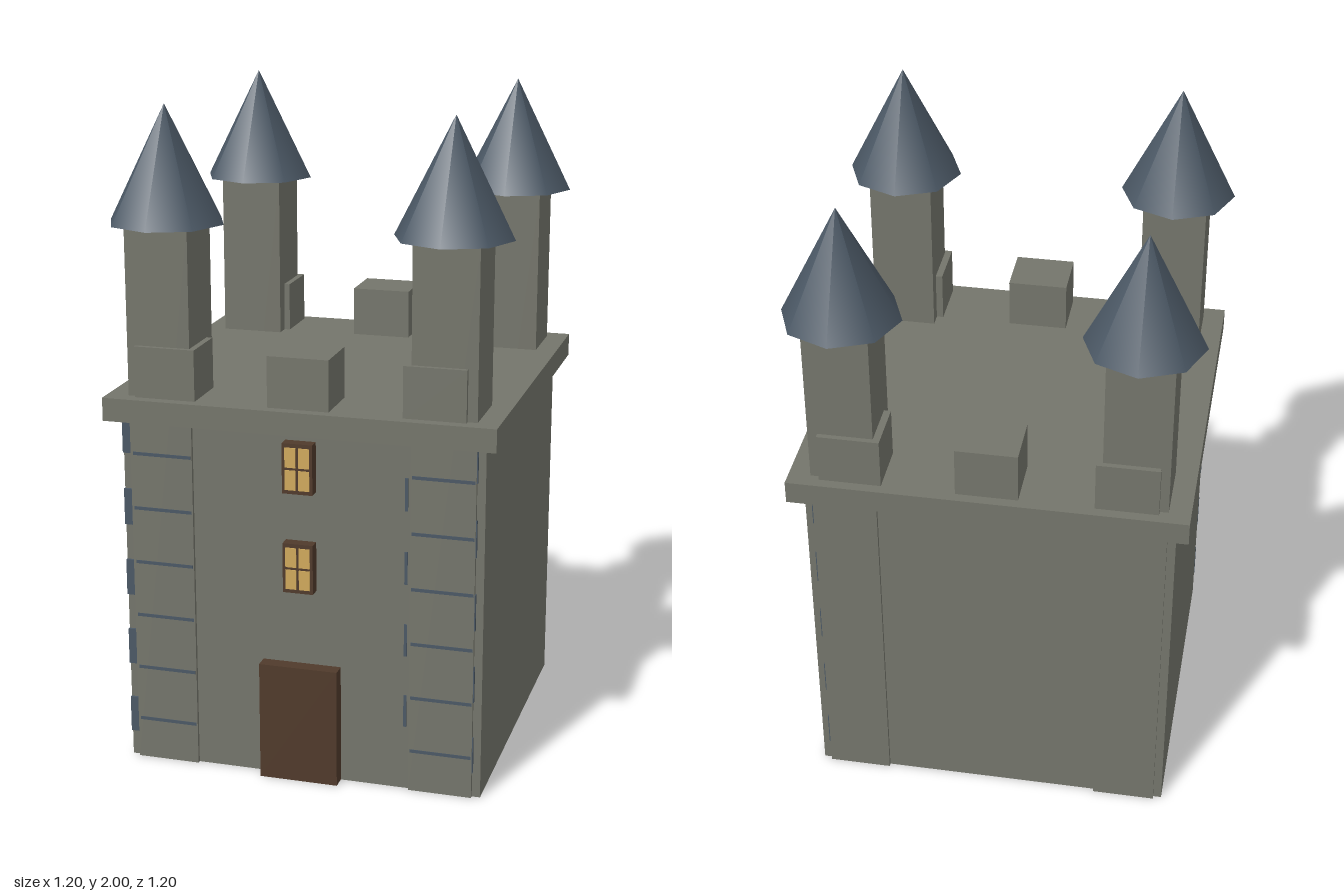
import * as THREE from 'three';

const mat = (name, color) => {
  const m = new THREE.MeshStandardMaterial({ color });
  m.name = name;
  return m;
};

export function createModel() {
  const stone = mat('stone', 0x74756b);
  const slate = mat('slate', 0x4b5865);
  const wood = mat('wood', 0x503a2b);
  const glow = mat('windowGlow', 0xd0a95c);

  const castle = new THREE.Group();
  castle.name = 'castle';

  // Box given by its minimum and maximum corners
  const box = (name, material, x0, x1, y0, y1, z0, z1, parent = castle) => {
    const mesh = new THREE.Mesh(new THREE.BoxGeometry(x1 - x0, y1 - y0, z1 - z0), material);
    mesh.position.set((x0 + x1) / 2, (y0 + y1) / 2, (z0 + z1) / 2);
    mesh.name = name;
    parent.add(mesh);
    return mesh;
  };

  // Keep and its overhanging roof slab
  box('keep', stone, -0.548, 0.548, 0, 1.1, -0.512, 0.512);
  box('roofSlab', stone, -0.588, 0.588, 1.085, 1.155, -0.57, 0.57);

  // Square corner towers running from the ground up to eight-sided spires
  for (const sx of [-1, 1]) {
    for (const sz of [-1, 1]) {
      const tower = new THREE.Group();
      tower.name = 'tower';
      tower.position.set(sx * 0.427, 0, sz * 0.427);
      box('towerShaft', stone, -0.096, 0.096, 0, 1.66, -0.096, 0.096, tower);
      const spire = new THREE.Mesh(new THREE.ConeGeometry(0.174, 0.342, 8), slate);
      spire.position.y = 1.829;
      spire.name = 'spire';
      tower.add(spire);
      castle.add(tower);
    }
  }

  // Merlons along the front and back edges
  for (const x of [-0.405, 0, 0.402]) {
    for (const z of [-0.458, 0.456]) {
      box('merlon', stone, x - 0.092, x + 0.092, 1.15, 1.308, z - 0.081, z + 0.081);
    }
  }

  // Slate quoins peeping out beside the towers
  for (let i = 0; i < 5; i++) {
    const y = 0.08 + i * 0.224;
    const top = Math.min(y + 0.112, 1.085);
    box('quoin', slate, -0.549, -0.523, y, top, 0.508, 0.52);
    box('quoin', slate, 0.52, 0.526, y, top, 0.508, 0.522);
    box('quoin', slate, 0.52, 0.526, y, top, -0.522, -0.508);
    box('quoin', slate, 0.313, 0.322, y - 0.08 + 0.2, y + 0.22, 0.508, 0.516).visible = i < 4;
  }

  // Thin mortar courses on the front towers
  for (let i = 0; i < 6; i++) {
    const y = 0.128 + i * 0.17;
    for (const [x0, x1] of [[-0.515, -0.335], [0.335, 0.52]]) {
      box('mortarCourse', slate, x0, x1, y - 0.005, y + 0.005, 0.518, 0.5245);
    }
  }

  // Door
  box('door', wood, -0.12, 0.12, 0, 0.365, 0.5, 0.556);

  // Windows: wooden frame with four glowing panes
  for (const y of [0.675, 0.98]) {
    const win = new THREE.Group();
    win.name = 'window';
    win.position.set(0, y, 0);
    box('windowFrame', wood, -0.046, 0.046, -0.076, 0.076, 0.5, 0.548, win);
    for (const sx of [-1, 1]) {
      for (const sy of [-1, 1]) {
        const x = sx * 0.0205, py = sy * 0.034;
        box('windowPane', glow, x - 0.0165, x + 0.0165, py - 0.03, py + 0.03, 0.545, 0.551, win);
      }
    }
    castle.add(win);
  }

  return castle;
}
